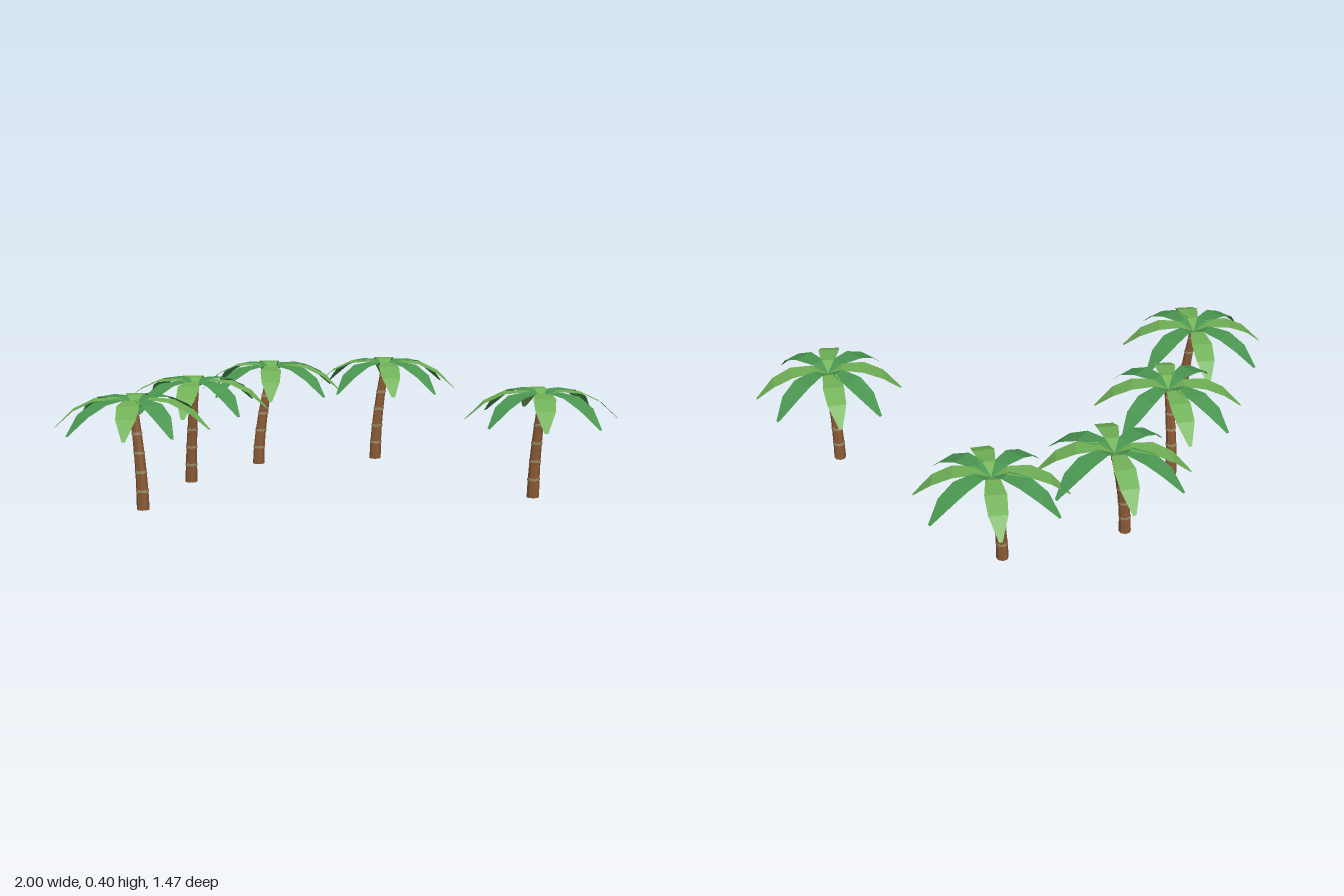
import * as THREE from 'three';

const mat = (name, color, extra = {}) => {
  const m = new THREE.MeshStandardMaterial({ color, flatShading: true, ...extra });
  m.name = name;
  return m;
};

const TRUNK_HEIGHT = 0.366;
const BASE_RADIUS = 0.0228, TOP_RADIUS = 0.0155;

// base and crown positions (x, z), and the compass angle of each frond in degrees
const TREES = [
  { base: [-0.696, 0.475], crown: [-0.726, 0.455], angles: [10, 54, 89, 137, 174, 219, 267, 320] },
  { base: [-0.577, 0.013], crown: [-0.556, 0.04], angles: [7, 49, 93, 133, 184, 226, 262, 316] },
  { base: [-0.347, -0.334], crown: [-0.295, -0.357], angles: [5.5, 39, 87, 137, 187, 215, 263, 325] },
  { base: [0.117, -0.45], crown: [0.155, -0.462], angles: [5.5, 45, 83, 132, 184, 215, 268, 325] },
  { base: [0.697, 0.245], crown: [0.722, 0.274], angles: [-7, 48, 92, 137, 181, 226, 261, 314] },
];

// frond cross-sections: [distance out, height, half width]
const FROND = [
  [0, 0.368, 0.013],
  [0.056, 0.396, 0.027],
  [0.138, 0.39, 0.04],
  [0.21, 0.356, 0.035],
  [0.278, 0.292, 0.006],
];

// flat ribbon that arches outward and droops, facing up
function frondGeometry() {
  const pos = [], index = [];
  FROND.forEach(([r, y, w], i) => {
    pos.push(r, y, -w, r, y, w);
    if (i > 0) {
      const a = 2 * i - 2;
      index.push(a, a + 1, a + 2, a + 1, a + 3, a + 2);
    }
  });
  const g = new THREE.BufferGeometry();
  g.setAttribute('position', new THREE.Float32BufferAttribute(pos, 3));
  g.setIndex(index);
  const flat = g.toNonIndexed();
  flat.computeVertexNormals();
  return flat;
}

// bends an upright geometry along the trunk's leaning curve
function lean(geometry, dx, dz) {
  const p = geometry.attributes.position;
  for (let i = 0; i < p.count; i++) {
    const k = Math.pow(Math.max(0, p.getY(i) / TRUNK_HEIGHT), 1.7);
    p.setX(i, p.getX(i) + dx * k);
    p.setZ(i, p.getZ(i) + dz * k);
  }
  geometry.computeVertexNormals();
  return geometry;
}

export function createModel() {
  const bark = mat('bark brown', 0x8a5a35);
  const ringMat = mat('bark ring tan', 0x9a8c6a);
  const lightLeaf = mat('light leaf green', 0x70b056, { side: THREE.DoubleSide });
  const darkLeaf = mat('dark leaf green', 0x4a9650, { side: THREE.DoubleSide });
  const frondGeo = frondGeometry();

  const model = new THREE.Group();
  model.name = 'palmGrove';

  for (const { base, crown, angles } of TREES) {
    const tree = new THREE.Group();
    tree.name = 'palmTree';
    tree.position.set(base[0], 0, base[1]);
    const dx = crown[0] - base[0], dz = crown[1] - base[1];

    // trunk
    const trunkGeo = new THREE.CylinderGeometry(TOP_RADIUS, BASE_RADIUS, TRUNK_HEIGHT, 8, 6)
      .translate(0, TRUNK_HEIGHT / 2, 0);
    const trunk = new THREE.Mesh(lean(trunkGeo, dx, dz), bark);
    trunk.name = 'trunk';
    tree.add(trunk);

    // growth rings
    for (let i = 1; i <= 5; i++) {
      const y = 0.068 * i;
      const r = THREE.MathUtils.lerp(BASE_RADIUS, TOP_RADIUS, y / TRUNK_HEIGHT) + 0.0018;
      const ringGeo = new THREE.CylinderGeometry(r, r, 0.009, 8).translate(0, y, 0);
      const ring = new THREE.Mesh(lean(ringGeo, dx, dz), ringMat);
      ring.name = 'trunkRing';
      tree.add(ring);
    }

    // crown of alternating light and dark fronds
    const crownGroup = new THREE.Group();
    crownGroup.name = 'crown';
    crownGroup.position.set(dx, 0, dz);
    angles.forEach((deg, i) => {
      const frond = new THREE.Mesh(frondGeo, i % 2 ? darkLeaf : lightLeaf);
      frond.name = 'frond';
      frond.rotation.y = -THREE.MathUtils.degToRad(deg);
      crownGroup.add(frond);
    });
    tree.add(crownGroup);
    model.add(tree);
  }
  return model;
}
